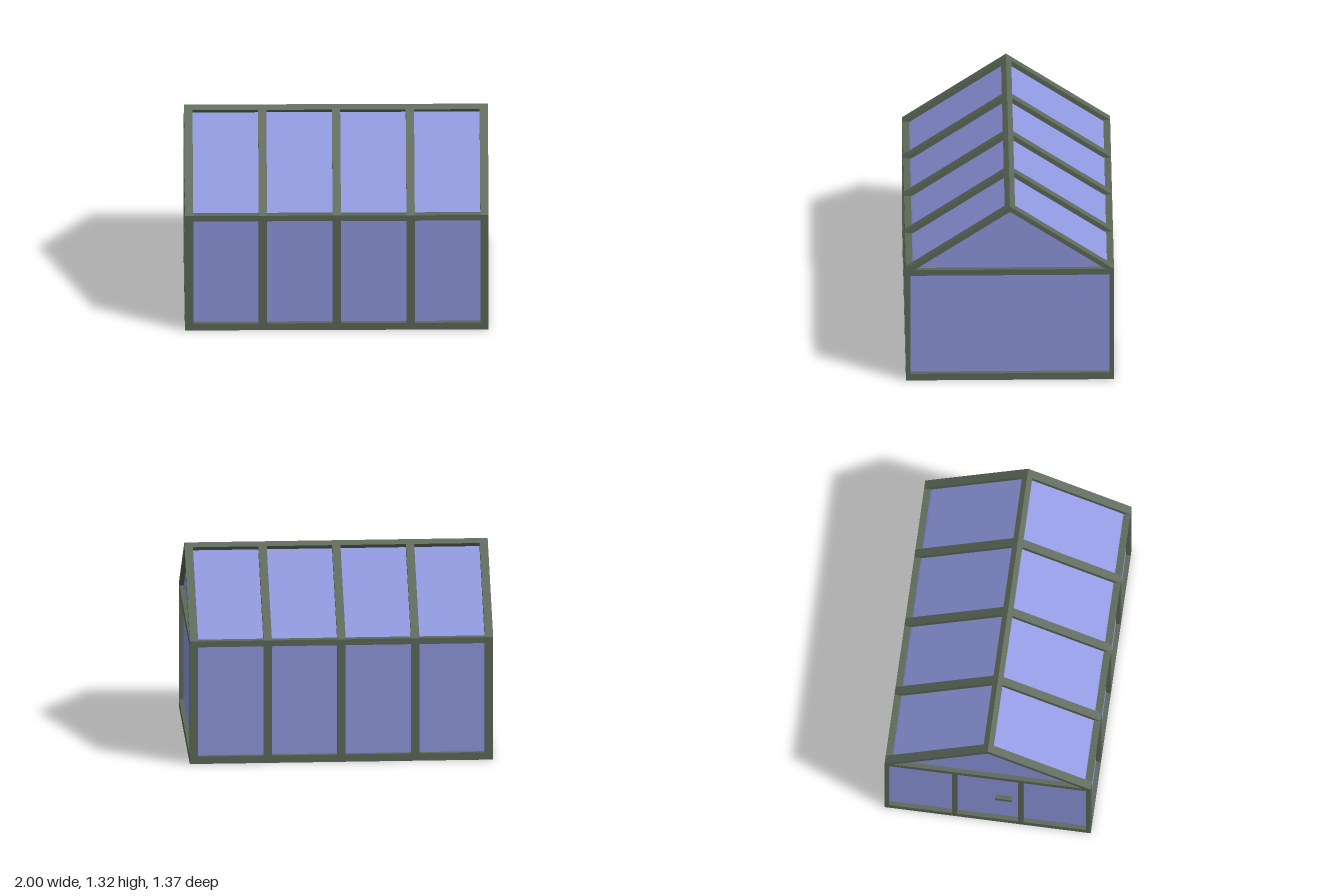
import * as THREE from 'three';

const W = 1, D = 0.685, EAVE = 0.84, RIDGE = 1.32;
const POST = 0.055, DEPTH = 0.035;

const frameMat = new THREE.MeshStandardMaterial({ color: 0x5c6858 });
const glassMat = new THREE.MeshStandardMaterial({ color: 0x8f97de });

export function createModel() {
  const model = new THREE.Group();
  model.name = 'greenhouse';

  const add = (name, geometry, material, x = 0) => {
    const mesh = new THREE.Mesh(geometry, material);
    mesh.name = name;
    mesh.position.x = x;
    model.add(mesh);
    return mesh;
  };
  // Box given by its lower and upper corner
  const bar = (name, x0, x1, y0, y1, z0, z1) => {
    const g = new THREE.BoxGeometry(x1 - x0, y1 - y0, z1 - z0);
    g.translate((x0 + x1) / 2, (y0 + y1) / 2, (z0 + z1) / 2);
    return add(name, g, frameMat);
  };
  // Cross-section in (z, y), extruded along x and centred on x
  const extrude = (name, points, length, material, x = 0) => {
    const shape = new THREE.Shape(points.map(([z, y]) => new THREE.Vector2(z, y)));
    const g = new THREE.ExtrudeGeometry(shape, { depth: length, bevelEnabled: false });
    g.translate(0, 0, -length / 2);
    g.rotateY(Math.PI / 2);
    return add(name, g, material, x);
  };

  // Glass shell, set back behind the frame on every side
  extrude('glassPanes', [
    [-0.655, 0.025], [0.655, 0.025], [0.655, 0.82], [0.63, 0.84],
    [0, 1.28], [-0.63, 0.84], [-0.655, 0.82],
  ], 2 * (W - 0.03), glassMat);

  // Bays: wall posts, rafters and floor bearers
  const chevron = [[D, EAVE], [0, RIDGE], [-D, EAVE], [-0.63, EAVE], [0, 1.28], [0.63, EAVE]];
  for (let i = 0; i < 5; i++) {
    const x = -W + POST / 2 + (i * (2 * W - POST)) / 4;
    const x0 = x - POST / 2, x1 = x + POST / 2;
    bar('backPost', x0, x1, 0, EAVE, -D, -D + 0.03);
    bar('frontPost', x0, x1, 0, EAVE, D - 0.03, D);
    bar('floorBearer', x0, x1, 0, 0.05, -D + 0.03, D - 0.03);
    extrude('rafter', chevron, POST, frameMat, x);
  }

  // Long sills and eaves
  for (const s of [-1, 1]) {
    const zs = (t) => [s * D, s * (D - t)].sort((a, b) => a - b);
    bar('sill', -W, W, 0, 0.05, ...zs(0.03));
    bar('eave', -W, W, 0.8, EAVE, ...zs(0.045));
  }

  // Ridge beam
  extrude('ridge', [
    [0, RIDGE], [-0.034, 1.296], [-0.014, 1.268], [0, 1.278], [0.014, 1.268], [0.034, 1.296],
  ], 2 * W, frameMat);

  // Gable tie beams
  bar('leftTie', W - POST, W, 0.797, EAVE, -D, D);
  bar('rightTie', -W, -W + POST, 0.797, EAVE, -D, D);

  // Door posts and handle
  for (const z of [-0.22, 0.22]) {
    bar('doorPost', -W, -W + DEPTH, 0.05, 0.8, z - 0.018, z + 0.018);
  }
  bar('doorHandle', -W, -W + DEPTH, 0.405, 0.435, 0.05, 0.16);

  return model;
}
